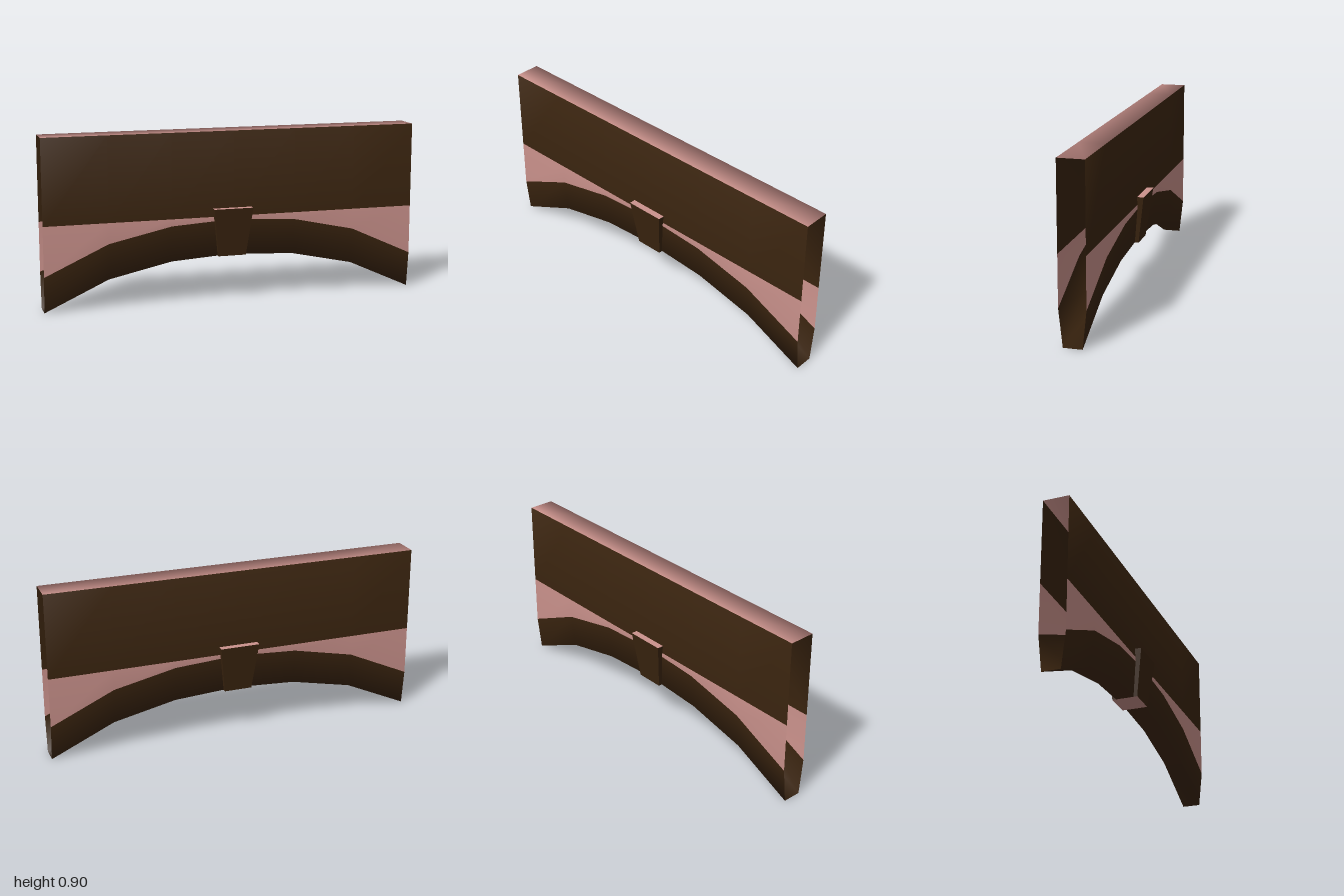
import * as THREE from 'three';

const wood = new THREE.MeshStandardMaterial({ color: 0x3a240f, side: THREE.DoubleSide });
wood.name = 'dark wood';
const plaster = new THREE.MeshStandardMaterial({ color: 0xcc938d, side: THREE.DoubleSide });
plaster.name = 'pink plaster';

// Open-ended wall: one closed cross-section per column, following the arch
function archWall() {
  const columns = [[-1, 0], [-0.665, 0.153], [-0.333, 0.225], [0, 0.245], [0.333, 0.225], [0.665, 0.153], [1, 0]];
  const positions = [];
  for (const [x, y] of columns) {
    // Front half from the arch edge up to the top, then mirrored down the back
    const half = [[y, 0.048], [y + 0.19, 0.068], [0.452, 0.068], [0.9, 0.068]];
    for (const [py, pz] of half) positions.push(x, py, pz);
    for (const [py, pz] of half.reverse()) positions.push(x, py, -pz);
  }
  const geometry = new THREE.BufferGeometry();
  const index = [];
  // Strips around the section: trim, plaster, panel, top, panel, plaster, trim, soffit
  const stripMaterials = [0, 1, 0, 1, 0, 1, 0, 0];
  stripMaterials.forEach((material, j) => {
    const next = (j + 1) % 8;
    geometry.addGroup(index.length, (columns.length - 1) * 6, material);
    for (let i = 0; i < columns.length - 1; i++) {
      const a = i * 8 + j, b = a + 8, d = i * 8 + next, c = d + 8;
      index.push(a, b, c, a, c, d);
    }
  });
  geometry.setAttribute('position', new THREE.Float32BufferAttribute(positions, 3));
  geometry.setIndex(index);
  geometry.computeVertexNormals();
  const mesh = new THREE.Mesh(geometry, [wood, plaster]);
  mesh.name = 'archWall';
  return mesh;
}

// Wedge block at the crown, wider and deeper at the top
function keystone() {
  const geometry = new THREE.BoxGeometry(0.21, 0.256, 0.204);
  const p = geometry.attributes.position;
  for (let i = 0; i < p.count; i++) {
    if (p.getY(i) < 0) {
      p.setX(i, p.getX(i) * 0.71);
      p.setZ(i, p.getZ(i) * 0.67);
    }
  }
  geometry.computeVertexNormals();
  const mesh = new THREE.Mesh(geometry, [wood, wood, plaster, plaster, wood, wood]);
  mesh.position.set(-0.01, 0.368, 0);
  mesh.name = 'keystone';
  return mesh;
}

export function createModel() {
  const group = new THREE.Group();
  group.name = 'archedLintel';
  group.add(archWall(), keystone());
  return group;
}
